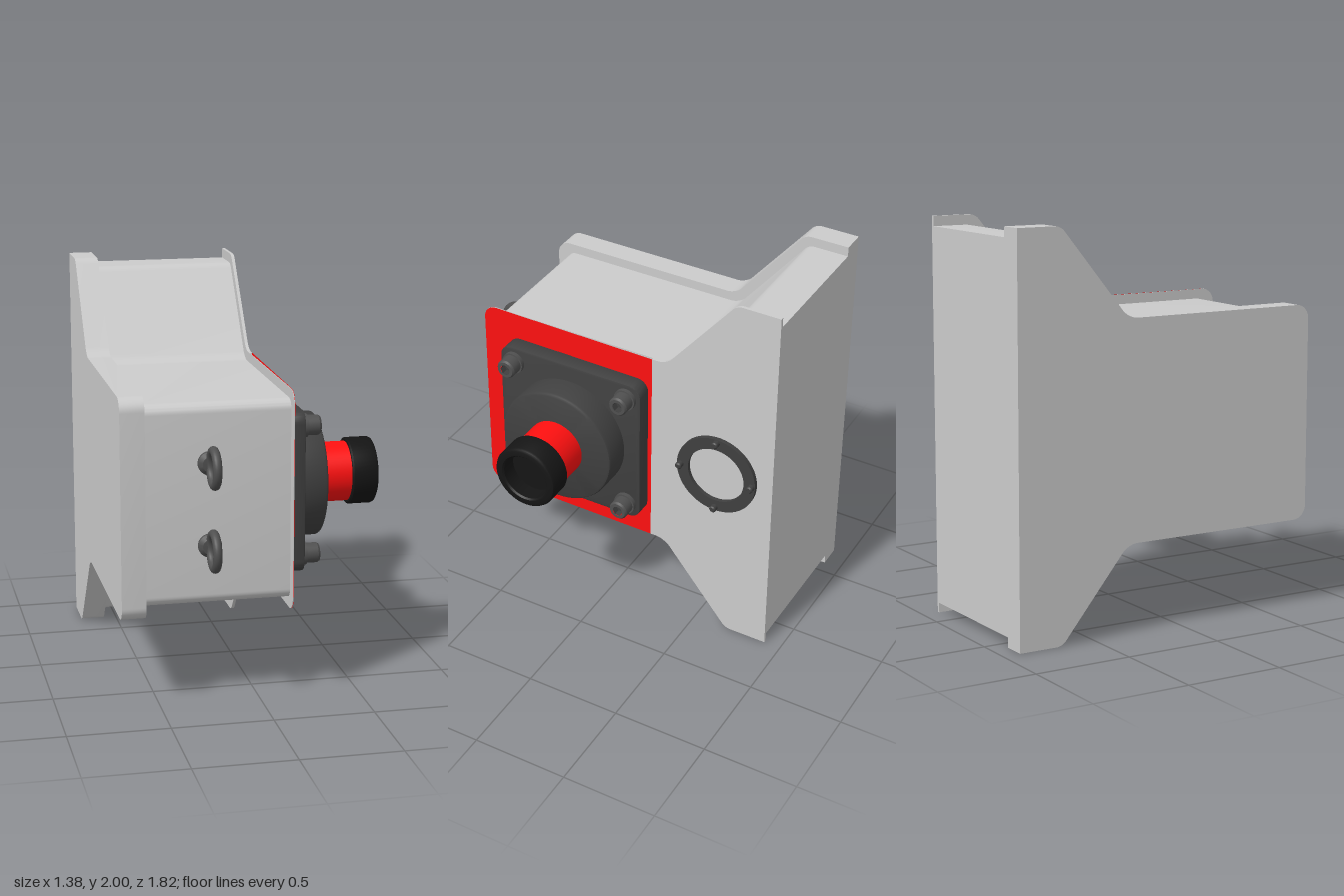
import * as THREE from 'three';
import { toCreasedNormals } from 'three/addons/utils/BufferGeometryUtils.js';

const mat = (color) => new THREE.MeshStandardMaterial({ color });
const V2 = (x, y) => new THREE.Vector2(x, y);

// Closed polygon from [z, y, cornerRadius] points; shape x is -z
function roundedShape(points) {
  const s = new THREE.Shape();
  const n = points.length;
  points.forEach((p, i) => {
    const c = V2(-p[0], p[1]);
    const toward = (q) => V2(-q[0], q[1]).sub(c).setLength(p[2]).add(c);
    const a = toward(points[(i + n - 1) % n]);
    const b = toward(points[(i + 1) % n]);
    if (i === 0) s.moveTo(a.x, a.y); else s.lineTo(a.x, a.y);
    if (p[2] > 0) s.bezierCurveTo(
      a.x + (c.x - a.x) * 0.55, a.y + (c.y - a.y) * 0.55,
      b.x + (c.x - b.x) * 0.55, b.y + (c.y - b.y) * 0.55, b.x, b.y);
  });
  s.closePath();
  return s;
}

// Housing outline, mirrored about y = 1; inset shrinks it on every side but the back
function housingShape(inset, r) {
  const half = [
    [-0.91, 1 - inset, 0], [-0.68 - inset * 0.4, 1 - inset, 0.03],
    [-0.31 - inset * 0.5, 0.548 - inset, 0.05], [0.75 - inset * 1.15, 0.548 - inset, r],
  ];
  const top = half.map(([z, h, c]) => [z, 1 + h, c]);
  const bottom = half.map(([z, h, c]) => [z, 1 - h, c]).reverse();
  return roundedShape([...bottom, ...top]);
}

// Extrude a (z, y) shape from x0 to x1
function plate(name, shape, x0, x1, material, bevel = 0) {
  let g = new THREE.ExtrudeGeometry(shape, {
    depth: x1 - x0 - 2 * bevel, curveSegments: 10, bevelEnabled: bevel > 0,
    bevelSize: bevel, bevelThickness: bevel, bevelOffset: -bevel, bevelSegments: 2,
  });
  g.rotateY(Math.PI / 2).translate(x0 + bevel, 0, 0);
  g = toCreasedNormals(g, 0.5);
  const m = new THREE.Mesh(g, material);
  m.name = name;
  return m;
}

// Solid of revolution about the x axis, from [radius, x] points
function turned(name, profile, material, y, z, segments = 48) {
  let g = new THREE.LatheGeometry(profile.map(([r, h]) => V2(r, h)), segments);
  g.rotateZ(-Math.PI / 2);
  g = toCreasedNormals(g, 0.5);
  const m = new THREE.Mesh(g, material);
  m.name = name;
  m.position.set(0, y, z);
  return m;
}

export function createModel() {
  const model = new THREE.Group();
  model.name = 'gearHousing';
  const grey = mat(0xcccccc);
  const red = mat(0xff1010);
  red.side = THREE.DoubleSide;
  const dark = mat(0x404040);
  const steel = mat(0x505050);
  const black = mat(0x151515);

  // Housing with its two flanges
  model.add(
    plate('backFlange', housingShape(0, 0.07), -0.69, -0.57, grey),
    plate('housingBody', housingShape(0.05, 0.05), -0.57, 0.15, grey),
    plate('mountingPlate', housingShape(0, 0.07), 0.15, 0.153, grey),
  );

  // Thicker rear part of the mounting plate
  const rear = [
    [-0.91, 0, 0], [-0.68, 0, 0.03], [-0.31, 0.452, 0.05], [-0.23, 0.452, 0],
    [-0.23, 1.548, 0], [-0.31, 1.548, 0.05], [-0.68, 2, 0.03], [-0.91, 2, 0],
  ];
  model.add(plate('rearPanel', roundedShape(rear), 0.153, 0.166, grey));

  // Red face, sloping slightly inward toward the front
  const faceGeometry = new THREE.ShapeGeometry(roundedShape([
    [-0.23, 0.452, 0], [0.75, 0.452, 0.07], [0.75, 1.548, 0.07], [-0.23, 1.548, 0],
  ].reverse()), 10).rotateY(Math.PI / 2);
  const pos = faceGeometry.attributes.position;
  for (let i = 0; i < pos.count; i++) {
    pos.setX(i, 0.166 - 0.0115 * (pos.getZ(i) + 0.23) / 0.98);
  }
  faceGeometry.computeVertexNormals();
  const face = new THREE.Mesh(faceGeometry, red);
  face.name = 'redFace';
  model.add(face);

  // Drive unit: square flange, round hub, red shaft and hollow cap
  const cy = 1.003, cz = 0.196, h = 0.405;
  const square = roundedShape([
    [cz - h, cy - h, 0.06], [cz + h, cy - h, 0.06],
    [cz + h, cy + h, 0.06], [cz - h, cy + h, 0.06],
  ].reverse());
  model.add(
    plate('driveFlange', square, 0.155, 0.247, dark, 0.005),
    turned('driveHub', [[0, 0.24], [0.315, 0.24], [0.315, 0.375], [0.31, 0.385],
      [0.3, 0.39], [0, 0.39]], dark, cy, cz, 64),
    turned('driveShaft', [[0.152, 0.385], [0.152, 0.57]], red, cy, cz),
    turned('shaftCap', [[0, 0.555], [0.163, 0.555], [0.17, 0.562], [0.17, 0.675],
      [0.165, 0.685], [0.155, 0.69], [0.13, 0.69], [0.122, 0.682], [0.122, 0.6],
      [0, 0.6]], black, cy, cz),
  );

  // Socket-head screws with washers at the flange corners
  for (const sy of [-1, 1]) for (const sz of [-1, 1]) {
    const y = cy + sy * 0.325, z = cz + sz * 0.325;
    model.add(
      turned('screwWasher', [[0, 0.24], [0.058, 0.24], [0.058, 0.268], [0, 0.268]], steel, y, z, 24),
      turned('screwHead', [[0, 0.26], [0.05, 0.26], [0.05, 0.325], [0.043, 0.335],
        [0.027, 0.335]], steel, y, z, 24),
      turned('screwSocket', [[0.027, 0.335], [0.027, 0.3], [0, 0.3]], dark, y, z, 6),
    );
  }

  // Sight window: disc, ring and four small screws
  const wy = 1.003, wz = -0.613;
  model.add(
    turned('windowDisc', [[0, 0.16], [0.185, 0.16], [0.185, 0.18], [0, 0.18]], grey, wy, wz),
    turned('windowRing', [[0.155, 0.178], [0.218, 0.178], [0.218, 0.2], [0.155, 0.2],
      [0.155, 0.178]], dark, wy, wz, 64),
  );
  for (let i = 0; i < 4; i++) {
    const a = i * Math.PI / 2;
    model.add(turned('windowScrew', [[0, 0.16], [0.011, 0.16], [0.011, 0.2], [0.018, 0.2],
      [0.018, 0.224], [0.012, 0.23], [0, 0.23]], dark,
    wy + 0.198 * Math.sin(a), wz + 0.198 * Math.cos(a), 16));
  }

  // Lifting eyes on the front
  for (const y of [0.8, 1.208]) {
    const eye = new THREE.Group();
    eye.name = 'liftingEye';
    eye.position.set(-0.25, y, 0);
    const ring = new THREE.Mesh(new THREE.TorusGeometry(0.084, 0.022, 14, 40), steel);
    ring.name = 'eyeRing';
    ring.rotation.y = Math.PI / 2;
    ring.position.z = 0.804;
    const base = turned('eyeBase', [[0, 0.68], [0.058, 0.68], [0.058, 0.708],
      [0.04, 0.732], [0, 0.735]], steel, 0, 0, 32);
    base.rotation.y = -Math.PI / 2;
    eye.add(ring, base);
    model.add(eye);
  }

  return model;
}
